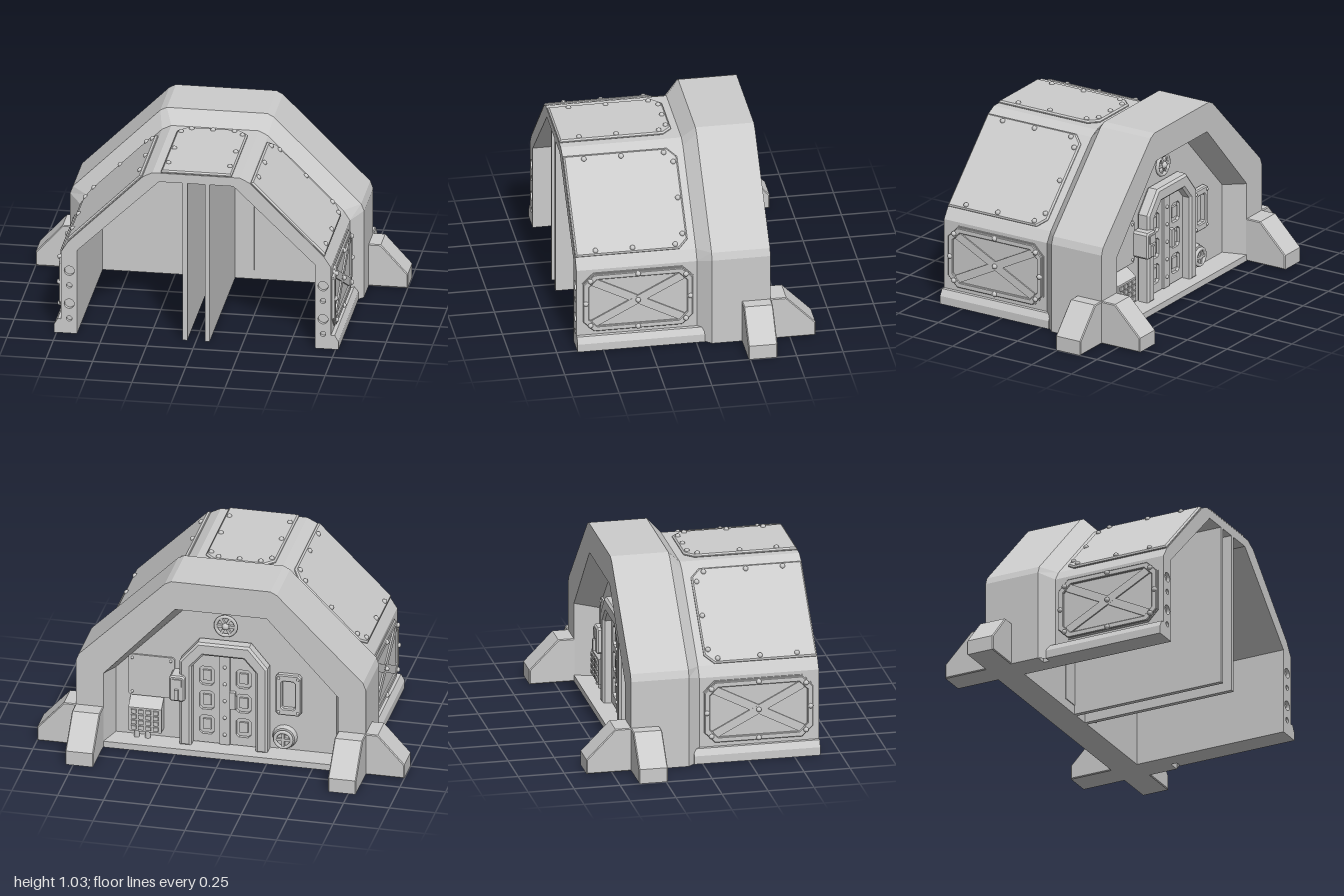
import * as THREE from 'three';

const mat = new THREE.MeshStandardMaterial({ color: 0xcccccc, flatShading: true });
const thin = new THREE.MeshStandardMaterial({ color: 0xcccccc, flatShading: true, side: THREE.DoubleSide });
const smooth = new THREE.MeshStandardMaterial({ color: 0xcccccc });

function add(parent, geo, name, pos = [0, 0, 0], material = mat) {
  const m = new THREE.Mesh(geo, material);
  m.name = name;
  m.position.set(...pos);
  parent.add(m);
  return m;
}
const box = (parent, name, size, pos) => add(parent, new THREE.BoxGeometry(...size), name, pos);

function group(parent, name) {
  const g = new THREE.Group();
  g.name = name;
  parent.add(g);
  return g;
}

// Extrude a point list between two depths; bevel stays inside the depth range
function slab(parent, name, pts, z0, z1, holes = [], bevel = 0) {
  const shape = new THREE.Shape(pts.map(p => new THREE.Vector2(...p)));
  shape.holes.push(...holes);
  const geo = new THREE.ExtrudeGeometry(shape, {
    depth: z1 - z0 - 2 * bevel, bevelEnabled: bevel > 0, bevelSize: bevel, bevelOffset: -bevel,
    bevelThickness: bevel, bevelSegments: 1, curveSegments: 10,
  });
  return add(parent, geo, name, [0, 0, z0 + bevel]);
}

// Symmetric open profile from its right half, listed from the ground up
const sym = half => [...half, ...half.slice().reverse().map(([x, y]) => [-x, y])];
const band = (outer, inner) => [...outer, ...inner.slice().reverse()];

// Skin between two profiles of equal length
function loft(parent, name, a, za, b, zb) {
  const pos = [];
  const v = (p, z) => [p[0], p[1], z];
  for (let i = 0; i < a.length - 1; i++) {
    const q = [v(a[i], za), v(a[i + 1], za), v(b[i + 1], zb), v(b[i], zb)];
    for (const k of [0, 1, 2, 0, 2, 3]) pos.push(...q[k]);
  }
  const geo = new THREE.BufferGeometry();
  geo.setAttribute('position', new THREE.Float32BufferAttribute(pos, 3));
  geo.computeVertexNormals();
  return add(parent, geo, name, [0, 0, 0], thin);
}

// Group whose local z is the surface normal n and local y is u
function mount(parent, name, n, u, origin) {
  const g = group(parent, name);
  const N = new THREE.Vector3(...n).normalize(), U = new THREE.Vector3(...u).normalize();
  const X = U.clone().cross(N);
  g.applyMatrix4(new THREE.Matrix4().makeBasis(X, U, N).setPosition(...origin));
  return g;
}

const rect8 = (a0, a1, b0, b1, c) => [[a0 + c, b0], [a1 - c, b0], [a1, b0 + c], [a1, b1 - c],
  [a1 - c, b1], [a0 + c, b1], [a0, b1 - c], [a0, b0 + c]];
const bolt = (parent, x, y, z, r = 0.014) =>
  add(parent, new THREE.SphereGeometry(r, 12, 8), 'bolt', [x, y, z], smooth);
const path = pts => new THREE.Path(pts.map(p => new THREE.Vector2(...p)));
const circle = (x, y, r) => new THREE.Path().absarc(x, y, r, 0, Math.PI * 2, true);

function buildDoorway(root) {
  // Everything here faces -z: local z points out of the back wall, local x is mirrored
  const g = mount(root, 'doorway', [0, 0, -1], [0, 1, 0], [0, 0, -0.265]);
  const outer = sym([[0.24, 0.03], [0.24, 0.53], [0.14, 0.65]]);
  const inner = sym([[0.175, 0.03], [0.175, 0.5], [0.11, 0.575]]);
  slab(g, 'doorFrame', band(outer, inner), 0, 0.075, [], 0.012);
  slab(g, 'doorBack', inner, 0, 0.008);
  for (const s of [-1, 1]) {
    const windows = [0.09, 0.235, 0.38].map(y => path(rect8(s * 0.1 - 0.04, s * 0.1 + 0.04, y, y + 0.11, 0.015)));
    slab(g, 'doorLeaf', [[s * 0.03, 0.04], [s * 0.172, 0.04], [s * 0.172, 0.5], [s * 0.11, 0.57], [s * 0.03, 0.57]],
      0.008, 0.026, windows);
    for (const y of [0.145, 0.29, 0.435]) box(g, 'leafPanel', [0.045, 0.06, 0.012], [s * 0.1, y, 0.014]);
  }
  box(g, 'doorCentre', [0.055, 0.53, 0.03], [0, 0.305, 0.02]);
  for (let i = 0; i < 5; i++) bolt(g, 0, 0.1 + i * 0.1, 0.036, 0.01);
  box(g, 'doorHandle', [0.03, 0.1, 0.03], [0.045, 0.31, 0.035]);

  // Round badge above the door
  const badge = group(g, 'badge');
  badge.position.set(0, 0.735, 0.012);
  add(badge, new THREE.TorusGeometry(0.055, 0.01, 8, 24), 'badgeRing', [0, 0, 0], smooth);
  for (let i = 0; i < 3; i++) box(badge, 'badgeSpoke', [0.1, 0.014, 0.016], [0, 0, 0]).rotation.z = i * Math.PI / 3;
  add(badge, new THREE.SphereGeometry(0.02, 12, 8), 'badgeHub', [0, 0, 0.004], smooth);

  // Riveted plate, vent box and control box on one side
  slab(g, 'wallPlate', rect8(-0.53, -0.28, 0.27, 0.51, 0.01), 0, 0.01);
  for (const x of [-0.51, -0.3]) for (const y of [0.29, 0.49]) bolt(g, x, y, 0.01, 0.008);
  const vent = mount(g, 'ventBox', [-1, 0, 0], [0, 1, 0], [-0.34, 0, 0]);
  slab(vent, 'ventBody', [[0, 0.08], [0.06, 0.08], [0.06, 0.22], [0, 0.265]], 0, 0.18);
  for (let i = 0; i < 4; i++) for (let j = 0; j < 4; j++)
    box(g, 'ventKey', [0.028, 0.022, 0.014], [-0.49 + i * 0.04, 0.103 + j * 0.032, 0.062]);
  for (const x of [-0.48, -0.42])
    add(g, new THREE.CylinderGeometry(0.015, 0.015, 0.06, 10), 'ventPipe', [x, 0.055, 0.03], smooth);
  slab(g, 'controlBox', rect8(-0.29, -0.205, 0.3, 0.45, 0.012), 0, 0.1, [], 0.008);
  box(g, 'controlScreen', [0.05, 0.045, 0.012], [-0.247, 0.41, 0.1]);
  box(g, 'controlLever', [0.02, 0.06, 0.02], [-0.247, 0.345, 0.105]);

  // Framed window and valve wheel on the other side
  slab(g, 'windowFrame', rect8(0.275, 0.415, 0.25, 0.49, 0.015), 0, 0.035,
    [path(rect8(0.31, 0.38, 0.29, 0.45, 0.008))], 0.006);
  for (const y of [0.27, 0.47]) for (const x of [0.292, 0.398]) bolt(g, x, y, 0.035, 0.008);
  const valve = group(g, 'valve');
  valve.position.set(0.32, 0.11, 0.02);
  add(valve, new THREE.CylinderGeometry(0.06, 0.068, 0.03, 20), 'valveBase', [0, 0, -0.005]).rotation.x = Math.PI / 2;
  add(valve, new THREE.TorusGeometry(0.045, 0.01, 8, 20), 'valveWheel', [0, 0, 0.022], smooth);
  for (let i = 0; i < 2; i++) box(valve, 'valveSpoke', [0.085, 0.014, 0.014], [0, 0, 0.022]).rotation.z = i * Math.PI / 2;
}

// Bevelled cover plate, open toward the front end, with bolts round the edge
function coverPlate(g, zs, v0, v1, endBolts) {
  const c = 0.05, z0 = 0.03, z1 = 0.638;
  const pts = [[z1, v0], [z1, v1], [z0 + c, v1], [z0, v1 - c], [z0, v0 + c], [z0 + c, v0]];
  slab(g, 'plate', pts.map(([z, v]) => [z * zs, v]), -0.005, 0.016, [], 0.008);
  for (const z of [0.1, 0.33, 0.53]) for (const v of [v0 + 0.025, v1 - 0.025]) bolt(g, z * zs, v, 0.016);
  for (const v of endBolts) bolt(g, 0.055 * zs, v, 0.016);
}

export function createModel() {
  const root = new THREE.Group();
  root.name = 'bunkerEntrance';

  const shell = sym([[0.725, 0], [0.725, 0.47], [0.69, 0.525], [0.285, 0.93], [0.235, 0.955]]);
  const frame = sym([[0.79, 0], [0.79, 0.5], [0.775, 0.54], [0.305, 1.01], [0.27, 1.028]]);
  const inner = sym([[0.64, 0], [0.64, 0.48], [0.2, 0.905]]);
  const opening = sym([[0.64, 0], [0.64, 0.44], [0.25, 0.865]]);
  const recess = sym([[0.6, 0], [0.6, 0.42], [0.225, 0.81]]);

  // Tunnel shell with a pierced end cap
  slab(root, 'tunnelShell', band(shell, inner), -0.09, 0.62);
  const holes = [];
  for (const s of [-1, 1])
    for (const [y, r] of [[0.36, 0.027], [0.275, 0.015], [0.17, 0.027], [0.085, 0.015]]) holes.push(circle(s * 0.682, y, r));
  slab(root, 'tunnelEnd', band(shell, inner), 0.62, 0.64, holes);

  // Heavy rear arch with chamfered front and splayed opening
  slab(root, 'rearArchFront', band(frame, inner), -0.26, -0.08);
  slab(root, 'rearArchBack', band(frame, opening), -0.395, -0.26);
  loft(root, 'rearArchChamfer', shell, -0.01, frame, -0.08);
  loft(root, 'openingSplay', opening, -0.395, recess, -0.265);

  // Back wall, sill, inner door outline and the two long dividers
  slab(root, 'backWall', inner, -0.265, -0.24);
  box(root, 'sill', [1.28, 0.035, 0.155], [0, 0.0175, -0.3175]);
  box(root, 'doorInside', [0.35, 0.51, 0.006], [0, 0.305, -0.238]);
  for (const s of [-1, 1]) box(root, 'divider', [0.025, 0.905, 0.88], [s * 0.06, 0.4525, 0.2]);

  buildDoorway(root);

  // Roof plate
  const top = mount(root, 'roofPlate', [0, 1, 0], [1, 0, 0], [0, 0.955, 0]);
  coverPlate(top, 1, -0.19, 0.19, [-0.115, 0, 0.115]);

  for (const s of [-1, 1]) {
    // Sloped plate
    const slope = mount(root, 'slopePlate', [s, 1, 0], [-s, 1, 0], [s * 0.4875, 0.7275, 0]);
    coverPlate(slope, -s, -0.28, 0.28, [-0.2, 0, 0.2]);

    // Side panel with border and cross braces (symmetric about z = 0.31)
    const side = mount(root, 'sidePanel', [s, 0, 0], [0, 1, 0], [s * 0.725, 0.275, 0.31]);
    slab(side, 'panelBase', rect8(-0.3, 0.3, -0.175, 0.175, 0.06), -0.005, 0.006);
    slab(side, 'panelBorder', rect8(-0.295, 0.295, -0.17, 0.17, 0.058), 0, 0.018,
      [path(rect8(-0.265, 0.265, -0.14, 0.14, 0.045))], 0.004);
    const a = Math.atan2(0.125, 0.24);
    for (const t of [-1, 1]) box(side, 'brace', [0.54, 0.045, 0.014], [0, 0, 0.007 + t * 0.0004]).rotation.z = t * a;
    for (const [x, y] of [[0, 0.158], [0, -0.158], [0.282, 0], [-0.282, 0], [0, 0],
      [0.257, 0.133], [-0.257, 0.133], [0.257, -0.133], [-0.257, -0.133]]) bolt(side, x, y, 0.018);

    // Skirt along the ground
    slab(root, 'skirt', [[s * 0.7, 0], [s * 0.765, 0], [s * 0.765, 0.045], [s * 0.745, 0.08], [s * 0.7, 0.08]], -0.045, 0.64);

    // Buttress feet, one sideways and one to the rear
    slab(root, 'sideFoot', [[0.7, 0], [1, 0], [1, 0.08], [0.855, 0.24], [0.7, 0.24]].map(([x, y]) => [s * x, y]),
      -0.397, -0.24, [], 0.005);
    const foot = mount(root, 'rearFoot', [1, 0, 0], [0, 1, 0], [s * 0.7155, 0, 0]);
    slab(foot, 'footBlock', [[0.3, 0], [0.637, 0], [0.637, 0.08], [0.48, 0.24], [0.3, 0.24]], -0.0765, 0.0765, [], 0.005);
  }
  return root;
}
